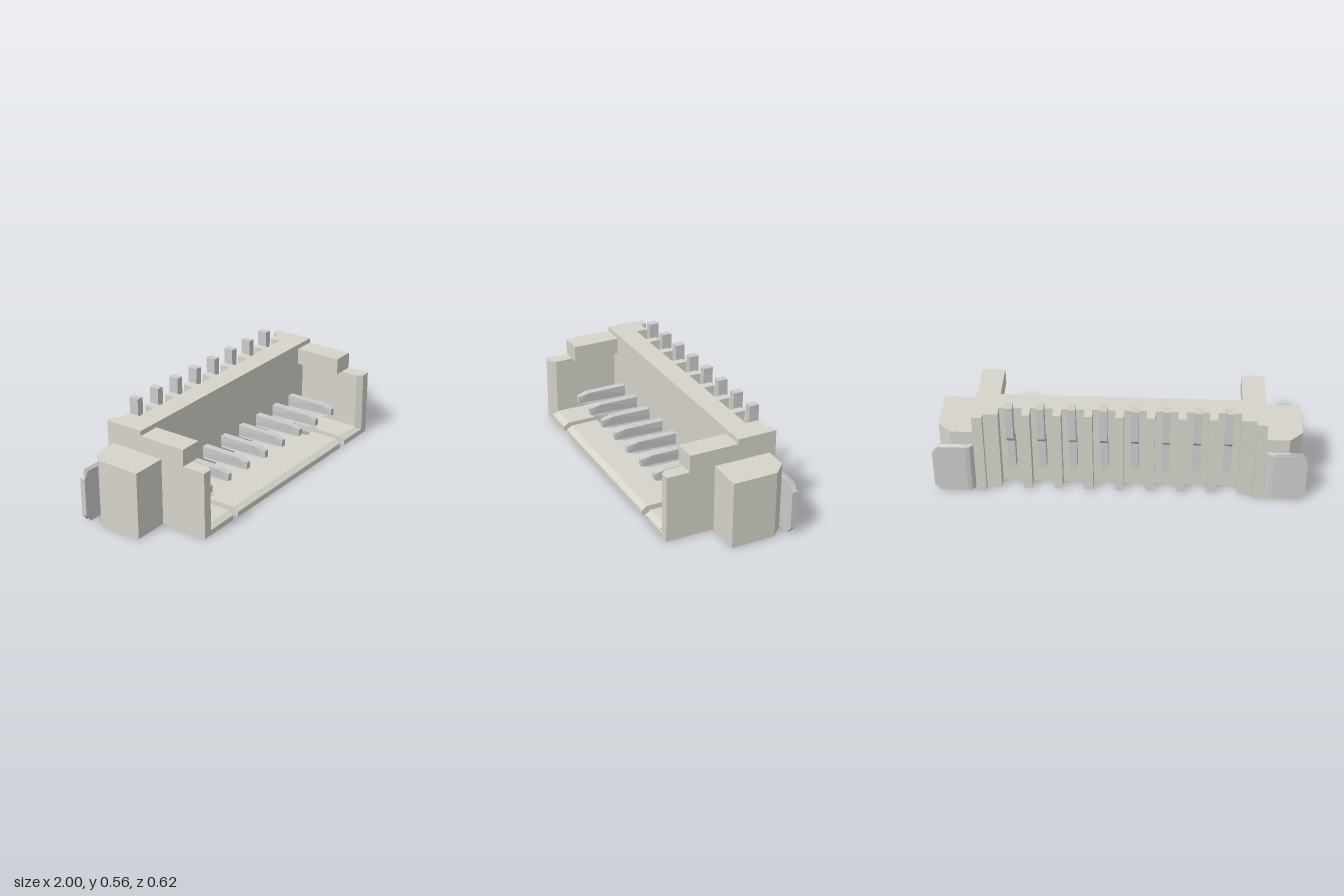
import * as THREE from 'three';

const housingMat = new THREE.MeshStandardMaterial({ color: 0xd6d4ca, flatShading: true });
const metalMat = new THREE.MeshStandardMaterial({ color: 0xcccccc, flatShading: true });

// Extrude a plan outline of [x, z] points upwards from y0 to y1
function plan(points, y0, y1) {
  const shape = new THREE.Shape(points.map(([x, z]) => new THREE.Vector2(x, -z)));
  const geo = new THREE.ExtrudeGeometry(shape, { depth: y1 - y0, bevelEnabled: false });
  return geo.rotateX(-Math.PI / 2).translate(0, y0, 0);
}

// Complete a half outline (x > 0) with its mirror image
const mirrored = (half) => [...half, ...half.map(([x, z]) => [-x, z]).reverse()];
const flip = (points, s) => points.map(([x, z]) => [x * s, z]);

// Apply a rule to every vertex
function reshape(geo, rule) {
  const p = geo.attributes.position;
  const v = new THREE.Vector3();
  for (let i = 0; i < p.count; i++) {
    rule(v.fromBufferAttribute(p, i));
    p.setXYZ(i, v.x, v.y, v.z);
  }
  geo.computeVertexNormals();
  return geo;
}

export function createModel() {
  const group = new THREE.Group();
  const add = (name, geo, mat = housingMat) => {
    const mesh = new THREE.Mesh(geo, mat);
    mesh.name = name;
    group.add(mesh);
  };
  const pitch = 0.165;

  // Back wall with ribs between the contacts and stepped end posts
  const wall = [[0.775, -0.09], [0.775, -0.31], [0.72, -0.31], [0.72, -0.275], [0.64, -0.275], [0.64, -0.21]];
  for (let i = 3; i >= -3; i--) {
    const x = i * pitch, h = 0.022;
    wall.push([x + h, -0.21], [x + h, -0.275], [x - h, -0.275], [x - h, -0.21]);
  }
  wall.push([-0.64, -0.21], [-0.64, -0.275], [-0.72, -0.275], [-0.72, -0.31], [-0.775, -0.31], [-0.775, -0.09]);
  add('backWall', plan(wall, 0, 0.49));

  // Floor with two keyhole slots and a chamfered front lip
  const floor = mirrored([
    [0.7, -0.09], [0.7, 0.31], [0.537, 0.31], [0.537, 0.12], [0.56, 0.12], [0.56, -0.04],
    [0.436, -0.04], [0.436, 0.12], [0.495, 0.12], [0.495, 0.31],
  ]);
  add('floor', plan(floor, 0, 0.03));
  add('floorLip', reshape(plan(floor, 0.03, 0.05), (v) => {
    if (v.y > 0.04 && v.z > 0.3) v.z = 0.28;
  }));
  for (const s of [1, -1]) {
    const side = s > 0 ? 'left' : 'right';

    // Side wall with chamfered mouth, closed at floor level
    add(side + 'SideWall', plan(flip([[0.775, -0.09], [0.775, 0.31], [0.725, 0.31], [0.7, 0.28], [0.7, -0.09]], s), 0.03, 0.37));
    add(side + 'WallFoot', plan(flip([[0.775, -0.09], [0.775, 0.31], [0.7, 0.31], [0.7, -0.09]], s), 0, 0.03));

    // Raised cap overhanging the cavity
    add(side + 'Cap', plan(flip([[0.775, -0.09], [0.775, 0.18], [0.65, 0.18], [0.65, -0.09]], s), 0.37, 0.463));

    // Outer mounting block
    add(side + 'MountBlock', plan(flip([[0.775, 0.04], [0.97, 0.04], [0.97, -0.205], [0.9, -0.275], [0.775, -0.275]], s), 0, 0.37));

    // Solder tab: curved root, flat plate, clipped outer corners
    const tab = [[0.97, -0.28], [1, -0.28], [1, -0.31], [0.97, -0.31], [0.82, -0.31],
      [0.798, -0.304], [0.784, -0.29], [0.78, -0.27], [0.8, -0.27], [0.808, -0.278], [0.82, -0.28]];
    add(side + 'SolderTab', reshape(plan(flip(tab, s), 0, 0.29), (v) => {
      if (Math.abs(v.x) > 0.99) v.y = v.y > 0.1 ? 0.25 : 0.04;
    }), metalMat);
  }

  // Bent contacts: solder tail, jog, upright and tapered blade
  const profile = [
    [-0.31, 0.555], [-0.255, 0.555], [-0.255, 0.36], [-0.21, 0.31], [-0.21, 0.2], [0.14, 0.2],
    [0.2, 0.185], [0.2, 0.145], [0.14, 0.13], [-0.26, 0.13], [-0.26, 0.31], [-0.31, 0.36],
  ].map(([z, y]) => new THREE.Vector2(z, y));
  const contact = new THREE.ExtrudeGeometry(new THREE.Shape(profile), { depth: 0.04, bevelEnabled: false });
  contact.translate(0, 0, -0.02).rotateY(-Math.PI / 2);
  reshape(contact, (v) => { if (v.z > 0.19) v.x *= 0.7; });
  for (let i = 0; i < 8; i++) {
    add('contact' + (i + 1), contact.clone().translate((i - 3.5) * pitch, 0, 0), metalMat);
  }
  return group;
}
